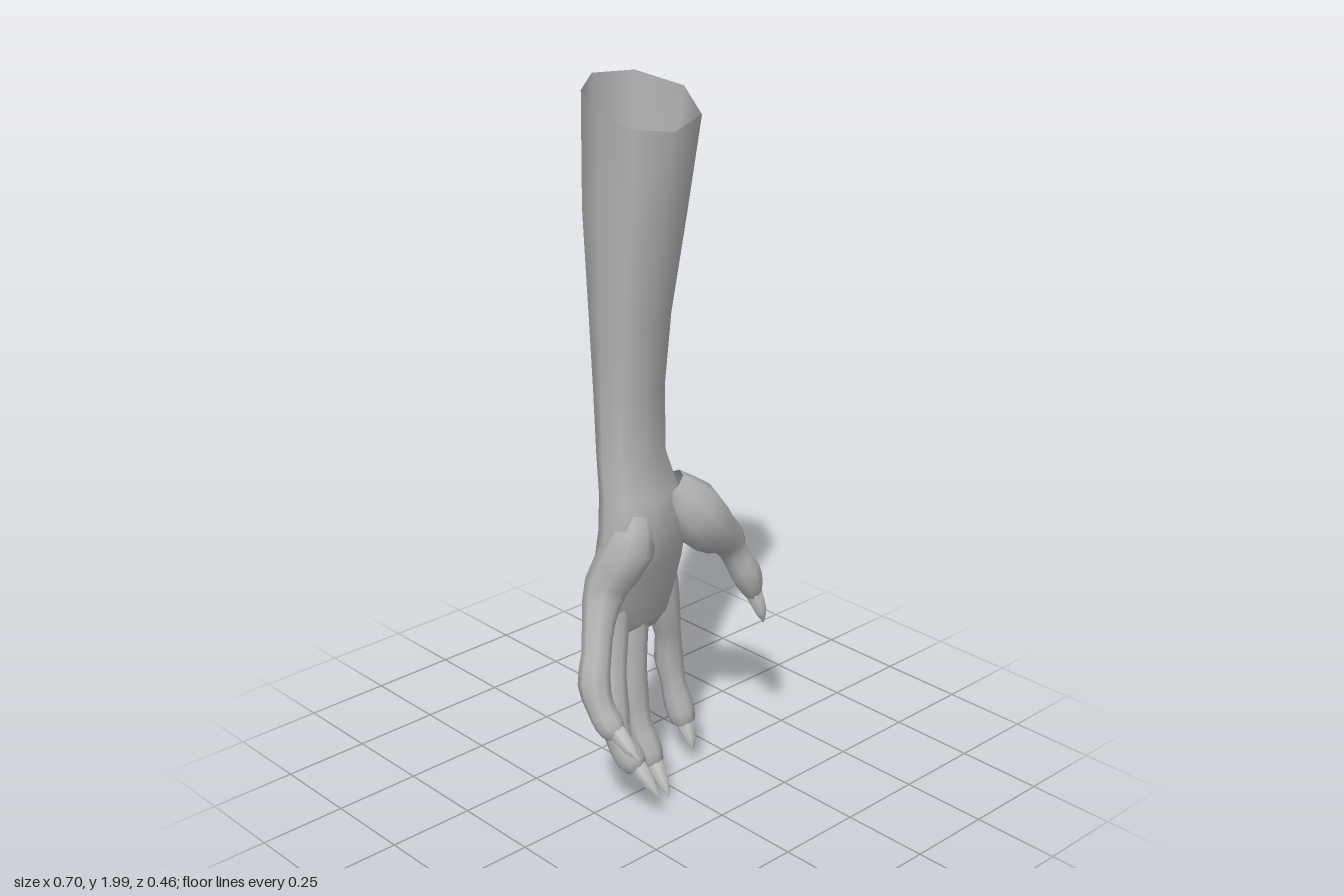
import * as THREE from 'three';

const skin = new THREE.MeshStandardMaterial({ color: 0xb2b2b2, side: THREE.DoubleSide });
skin.name = 'skin';
const clawHorn = new THREE.MeshStandardMaterial({ color: 0xc6c6c4, side: THREE.DoubleSide });
clawHorn.name = 'claw horn';

// Joins equal-length rings of Vector3 into one smooth skin
function skinRings(rings, material, name) {
  const sides = rings[0].length;
  const index = [];
  for (let i = 0; i < rings.length - 1; i++) {
    for (let j = 0; j < sides; j++) {
      const k = (j + 1) % sides;
      const a = i * sides + j, b = i * sides + k;
      index.push(a, b, b + sides, a, b + sides, a + sides);
    }
  }
  const geometry = new THREE.BufferGeometry().setFromPoints(rings.flat());
  geometry.setIndex(index);
  geometry.computeVertexNormals();
  const mesh = new THREE.Mesh(geometry, material);
  mesh.name = name;
  return mesh;
}

// Tube of varying radius through points [x, y, z, radius]
function taperedTube(points, sides, material, name) {
  const path = new THREE.CatmullRomCurve3(points.map(p => new THREE.Vector3(p[0], p[1], p[2])));
  const radii = new THREE.CatmullRomCurve3(points.map((p, i) => new THREE.Vector3(p[3], i, 0)));
  const steps = (points.length - 1) * 2;
  const front = new THREE.Vector3(0, 0, 1);
  const rings = [];
  for (let i = 0; i <= steps; i++) {
    const t = i / steps;
    const centre = path.getPoint(t);
    const tangent = path.getTangent(t);
    const side = new THREE.Vector3().crossVectors(front, tangent).normalize();
    const up = new THREE.Vector3().crossVectors(tangent, side);
    const r = Math.max(0, radii.getPoint(t).x);
    rings.push(Array.from({ length: sides }, (_, j) => {
      const a = (j / sides) * Math.PI * 2;
      return centre.clone().addScaledVector(side, r * Math.cos(a)).addScaledVector(up, r * Math.sin(a));
    }));
  }
  return skinRings(rings, material, name);
}

// Outline of the arm, scaled into each section's box
const outline = [[-0.2, -1], [0.57, -0.87], [1, -0.17], [0.6, 0.7],
  [-0.23, 1], [-0.82, 0.73], [-1, 0.12], [-0.76, -0.58]];

// y, left x, right x, back z, front z, slope of the section
const armSections = [
  [1.925, -0.155, 0.183, -0.235, 0.077, 0.32],
  [1.66, -0.152, 0.14, -0.228, 0.055, 0.1],
  [1.4, -0.15, 0.092, -0.19, 0.028, 0],
  [1.2, -0.152, 0.072, -0.163, 0.015, 0],
  [1.02, -0.165, 0.07, -0.135, 0.02, 0],
  [0.92, -0.183, 0.09, -0.115, 0.06, 0],
  [0.82, -0.2, 0.12, -0.108, 0.075, 0],
  [0.7, -0.215, 0.13, -0.112, 0.04, 0],
  [0.6, -0.195, 0.122, -0.122, 0.01, 0],
  [0.53, -0.165, 0.1, -0.112, -0.01, 0],
  [0.49, -0.11, 0.05, -0.09, -0.03, 0],
  [0.485, -0.03, -0.03, -0.06, -0.06, 0],
];

// Each digit: path points [x, y, z, radius], then the claw tip
const digits = {
  thumb: {
    points: [[0.03, 0.92, 0.0, 0.05], [0.09, 0.84, 0.03, 0.085], [0.155, 0.765, 0.035, 0.075],
      [0.215, 0.72, 0.03, 0.058], [0.25, 0.665, 0.03, 0.042], [0.282, 0.6, 0.045, 0.045],
      [0.3, 0.55, 0.05, 0.038], [0.312, 0.51, 0.055, 0.02], [0.314, 0.505, 0.055, 0]],
    tip: [0.34, 0.42, 0.07],
  },
  indexFinger: {
    points: [[0.04, 0.72, -0.06, 0.045], [0.068, 0.59, -0.08, 0.056], [0.085, 0.49, -0.075, 0.046],
      [0.105, 0.41, -0.08, 0.037], [0.115, 0.33, -0.087, 0.042], [0.12, 0.26, -0.075, 0.036],
      [0.128, 0.19, -0.06, 0.042], [0.13, 0.135, -0.04, 0.034], [0.13, 0.115, -0.033, 0]],
    tip: [0.13, 0.05, 0.0],
  },
  middleFinger: {
    points: [[-0.03, 0.72, -0.065, 0.045], [-0.045, 0.58, -0.078, 0.056], [-0.055, 0.48, -0.06, 0.048],
      [-0.06, 0.39, -0.05, 0.041], [-0.062, 0.3, -0.05, 0.047], [-0.06, 0.22, -0.03, 0.038],
      [-0.053, 0.15, -0.005, 0.043], [-0.05, 0.1, 0.02, 0.034], [-0.05, 0.08, 0.03, 0]],
    tip: [-0.046, 0.01, 0.09],
  },
  ringFinger: {
    points: [[-0.09, 0.75, -0.06, 0.045], [-0.128, 0.6, -0.06, 0.056], [-0.15, 0.5, -0.035, 0.046],
      [-0.172, 0.41, -0.01, 0.04], [-0.188, 0.32, 0.01, 0.046], [-0.192, 0.25, 0.035, 0.038],
      [-0.183, 0.2, 0.065, 0.043], [-0.175, 0.165, 0.09, 0.034], [-0.172, 0.155, 0.1, 0]],
    tip: [-0.153, 0.09, 0.162],
  },
  littleFinger: {
    points: [[-0.11, 0.88, 0.015, 0.045], [-0.135, 0.79, 0.02, 0.072], [-0.185, 0.68, -0.015, 0.06],
      [-0.235, 0.6, 0.01, 0.045], [-0.275, 0.53, 0.045, 0.04], [-0.306, 0.465, 0.07, 0.044],
      [-0.312, 0.41, 0.1, 0.038], [-0.308, 0.37, 0.13, 0.04], [-0.305, 0.345, 0.155, 0.028], [-0.304, 0.34, 0.16, 0]],
    tip: [-0.287, 0.29, 0.228],
  },
};

export function createModel() {
  const model = new THREE.Group();
  model.name = 'clawedArm';

  // Open-topped forearm running down into the palm
  const rings = armSections.map(([y, x0, x1, z0, z1, slope]) => outline.map(([u, v]) => {
    const z = (z0 + z1) / 2 + v * (z1 - z0) / 2;
    return new THREE.Vector3((x0 + x1) / 2 + u * (x1 - x0) / 2, y - slope * z, z);
  }));
  model.add(skinRings(rings, skin, 'forearmAndPalm'));

  // Fingers and thumb, each with a hooked claw
  for (const [name, { points, tip }] of Object.entries(digits)) {
    const digit = new THREE.Group();
    digit.name = name;
    digit.add(taperedTube(points, 8, skin, name + 'Flesh'));
    const root = points[points.length - 2];
    const mid = root.slice(0, 3).map((c, i) => (c + tip[i]) / 2);
    digit.add(taperedTube([[root[0], root[1] + 0.01, root[2], 0.027],
      [mid[0], mid[1], mid[2] + 0.006, 0.019], [...tip, 0]], 6, clawHorn, name + 'Claw'));
    model.add(digit);
  }
  return model;
}
